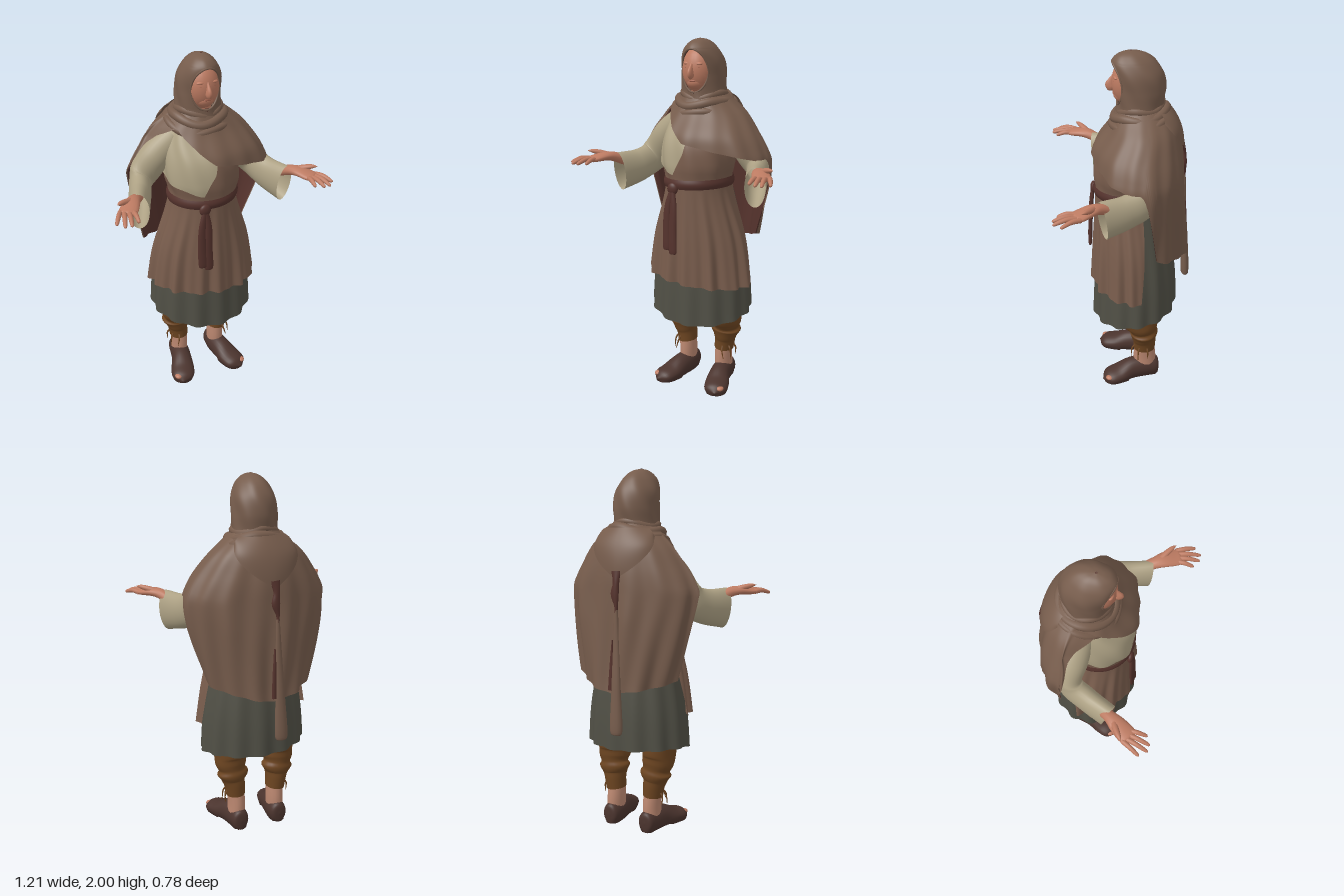
import * as THREE from 'three';
import { mergeVertices } from 'three/addons/utils/BufferGeometryUtils.js';

const V = (x, y, z) => new THREE.Vector3(x, y, z);
const rad = THREE.MathUtils.degToRad;

function paint(name, color) {
  const m = new THREE.MeshStandardMaterial({ color, side: THREE.DoubleSide });
  m.name = name;
  return m;
}

// Smooth surface from a rule f(u, v) -> Vector3, welded at seams and poles
function grid(nu, nv, f, flip = false) {
  const pos = [], idx = [];
  for (let j = 0; j <= nv; j++)
    for (let i = 0; i <= nu; i++) pos.push(...f(i / nu, j / nv).toArray());
  for (let j = 0; j < nv; j++)
    for (let i = 0; i < nu; i++) {
      const a = j * (nu + 1) + i, b = a + 1, d = a + nu + 1, c = d + 1;
      idx.push(...(flip ? [a, d, b, b, d, c] : [a, b, d, b, c, d]));
    }
  let g = new THREE.BufferGeometry();
  g.setAttribute('position', new THREE.Float32BufferAttribute(pos, 3));
  g.setIndex(idx);
  g = mergeVertices(g, 1e-5);
  g.computeVertexNormals();
  return g;
}

// Read a table of rows [key, ...values] at a key; smooth or straight between rows
function read(rows, k, smooth = true) {
  const n = rows.length - 1;
  k = THREE.MathUtils.clamp(k, rows[0][0], rows[n][0]);
  let i = 0;
  while (i < n - 1 && k > rows[i + 1][0]) i++;
  const h = rows[i + 1][0] - rows[i][0], t = (k - rows[i][0]) / h;
  return rows[i].slice(1).map((p, c) => {
    const q = rows[i + 1][c + 1];
    if (!smooth) return p + (q - p) * t;
    const slope = (j) => {
      const a = rows[Math.max(j - 1, 0)], b = rows[Math.min(j + 1, n)];
      return (b[c + 1] - a[c + 1]) / (b[0] - a[0]);
    };
    const t2 = t * t, t3 = t2 * t;
    return (2 * t3 - 3 * t2 + 1) * p + (t3 - 2 * t2 + t) * h * slope(i)
      + (3 * t2 - 2 * t3) * q + (t3 - t2) * h * slope(i + 1);
  });
}

// Point on an oval cross-section; rows are [y, halfWidth, frontZ, backZ], angle 0 faces +z
function onBody(rows, y, a, off = 0) {
  const [w, f, b] = read(rows, y);
  return V((w + off) * Math.sin(a), y, (f + b) / 2 + ((f - b) / 2 + off) * Math.cos(a));
}

// Tube with varying oval section; points are [x, y, z, halfWidth, halfHeight]
function sweep(pts, up = V(0, 1, 0), nu = 16, nv = 28) {
  const path = new THREE.CatmullRomCurve3(pts.map((p) => V(p[0], p[1], p[2])), false, 'catmullrom');
  const size = new THREE.CatmullRomCurve3(pts.map((p) => V(p[3], p[4], 0)), false, 'catmullrom');
  return grid(nu, nv, (u, v) => {
    const t = path.getTangent(v), s = size.getPoint(v), a = -u * Math.PI * 2;
    const side = t.clone().cross(up).normalize(), top = side.clone().cross(t);
    return path.getPoint(v)
      .addScaledVector(side, Math.cos(a) * Math.max(s.x, 0))
      .addScaledVector(top, Math.sin(a) * Math.max(s.y, 0));
  });
}

export function createModel() {
  const model = new THREE.Group();
  const cloth = paint('brown cloak', 0x765c4c), tunicMat = paint('brown tunic', 0x785c4c);
  const linen = paint('pale linen', 0xada184), grey = paint('grey green wool', 0x504f45);
  const skin = paint('skin', 0xbd7b62), lips = paint('dark skin', 0xa5634f);
  const dark = paint('dark red brown', 0x54322c), legging = paint('legging brown', 0x6d4521);
  const leather = paint('shoe leather', 0x4b342e), wrap = paint('ankle wrap', 0xbb8770);
  const add = (name, geo, mat, parent = model) => {
    const m = new THREE.Mesh(geo, mat);
    m.name = name;
    parent.add(m);
    return m;
  };
  const blob = (name, mat, p, s, parent) => {
    const m = add(name, new THREE.SphereGeometry(1, 24, 18), mat, parent);
    m.position.set(...p);
    m.scale.set(...s);
  };

  // Underskirt, lowest at the front
  const underRows = [[0.4, 0.3, 0.18, -0.3], [0.7, 0.28, 0.165, -0.29], [1.0, 0.225, 0.135, -0.25], [1.25, 0.17, 0.12, -0.2]];
  add('underskirt', grid(96, 20, (u, v) => {
    const a = u * Math.PI * 2, hem = 0.46 - 0.035 * Math.cos(a) + 0.025 * Math.sin(a) ** 2 - 0.012 * Math.sin(a);
    const y = hem + (1.25 - hem) * v;
    return onBody(underRows, y, a, (1 - v) * 0.009 * Math.sin(13 * a));
  }), grey);

  // Tunic: pleated skirt open behind, and closed bodice
  const tunicRows = [[0.63, 0.315, 0.183, -0.3], [0.9, 0.275, 0.172, -0.28], [1.15, 0.2, 0.16, -0.23], [1.25, 0.185, 0.158, -0.21],
    [1.33, 0.205, 0.165, -0.22], [1.46, 0.2, 0.14, -0.22], [1.58, 0.17, 0.06, -0.2], [1.68, 0.09, 0.01, -0.16]];
  add('tunicSkirt', grid(120, 24, (u, v) => {
    const a = rad((2 * u - 1) * (94 + 14 * v)), hem = 0.665 - 0.022 * Math.sin(a);
    const y = hem + (1.24 - hem) * v;
    return onBody(tunicRows, y, a, (1 - v) * (0.012 * Math.sin(14 * a) + 0.007 * Math.sin(23 * a + 1)));
  }), tunicMat);
  const bulge = (y, a) => 0.005 * Math.sin(9 * a + 14 * y);
  add('tunicBodice', grid(64, 20, (u, v) => {
    const a = u * Math.PI * 2, y = 1.2 + 0.48 * v;
    return onBody(tunicRows, y, a, bulge(y, a));
  }), tunicMat);

  // Bare linen on the right half of the chest
  const linenEdge = [[1.28, -18], [1.4, 1], [1.46, 4], [1.66, -20]];
  add('linenChest', grid(28, 20, (u, v) => {
    const end = rad(read(linenEdge, 1.28 + 0.38 * v, false)[0]);
    const a = rad(-110) + (end - rad(-110)) * u;
    const y = 1.28 + 0.08 * (1 - u) * (1 - v) ** 2 + 0.38 * v;
    return onBody(tunicRows, y, a, 0.007 + bulge(y, a));
  }), linen);

  // Belt with knot and two hanging ends
  const belt = new THREE.Group();
  belt.name = 'belt';
  model.add(belt);
  add('beltBand', grid(64, 8, (u, v) => {
    const a = u * Math.PI * 2;
    return onBody(tunicRows, 1.205 + 0.052 * v + 0.008 * Math.sin(a), a, 0.005 + 0.008 * Math.sin(Math.PI * v));
  }), dark, belt);
  blob('beltKnot', dark, [-0.06, 1.205, 0.165], [0.032, 0.034, 0.018], belt);
  for (const [x, bottom] of [[-0.083, 0.87], [-0.047, 0.85]])
    add('beltEnd', sweep([[-0.06, 1.21, 0.168, 0.014, 0.01], [x, 1.1, 0.18, 0.021, 0.011],
      [x - 0.003, 0.97, 0.187, 0.025, 0.011], [x, bottom, 0.192, 0.024, 0.01], [x, bottom - 0.003, 0.192, 0, 0]], V(0, 0, 1), 10), dark, belt);

  // Cloak: long behind, short over the left arm and chest, drawn back over the right shoulder, with a dark lining
  const cloakRows = [[0.8, 0.28, 0.16, -0.36], [0.9, 0.31, 0.16, -0.35], [1.2, 0.378, 0.17, -0.333], [1.36, 0.397, 0.178, -0.32],
    [1.43, 0.37, 0.174, -0.315], [1.5, 0.327, 0.155, -0.305], [1.6, 0.25, 0.085, -0.28], [1.66, 0.18, 0.055, -0.255], [1.72, 0.11, 0.03, -0.22]];
  const hemRows = [[-180, 0.83], [-130, 0.87], [-104, 0.9], [-95, 1.34], [-80, 1.44], [-60, 1.57], [-43, 1.63], [-20, 1.55], [0, 1.46],
    [30, 1.42], [80, 1.36], [93, 1.32], [104, 0.92], [130, 0.88], [180, 0.83]];
  const cloak = (off) => (u, v) => {
    const deg = -180 + 360 * u, a = rad(deg), hem = read(hemRows, deg, false)[0];
    const y = hem + (1.72 - hem) * v, drop = Math.min(1, (1.72 - y) * 2);
    const p = onBody(cloakRows, y, a, off + drop * (0.008 * Math.sin(8 * a + 5 * y) + 0.007 * Math.sin(15 * a - 4 * y)));
    p.z -= 0.1 * Math.exp(-(((deg + 68) / 24) ** 2)) * Math.min(1, (1.72 - y) * 6);
    return p;
  };
  add('cloak', grid(180, 36, cloak(0)), cloth);
  add('cloakLining', grid(180, 36, cloak(-0.007), true), dark);

  // Pointed fold of the hood lying on the back
  add('backFold', grid(40, 12, (u, v) => {
    const deg = 125 + 115 * u, hem = 1.44 + 0.22 * Math.abs(deg - 183) / 58;
    return onBody(cloakRows, hem + (1.7 - hem) * v, rad(deg), 0.012 + 0.011 * Math.sin(Math.PI * v));
  }), cloth);

  // Knotted cord, dark slit and long tail hanging from the hood
  add('tailCord', sweep([[-0.02, 1.48, -0.318, 0.03, 0.012], [-0.025, 1.42, -0.327, 0.018, 0.014], [-0.02, 1.36, -0.332, 0.024, 0.014],
    [-0.03, 1.3, -0.335, 0.01, 0.01], [-0.03, 1.25, -0.338, 0.008, 0.008]], V(0, 0, 1), 10), dark);
  add('tailSlit', sweep([[-0.012, 1.12, -0.343, 0.004, 0.008], [-0.008, 0.98, -0.351, 0.012, 0.008], [-0.004, 0.85, -0.359, 0.014, 0.008]], V(0, 0, 1), 8), dark);
  add('hoodTail', sweep([[-0.03, 1.28, -0.335, 0.01, 0.01], [-0.035, 1.05, -0.346, 0.02, 0.012], [-0.04, 0.85, -0.357, 0.028, 0.018],
    [-0.045, 0.63, -0.366, 0.036, 0.023], [-0.045, 0.622, -0.366, 0, 0]], V(0, 0, 1), 12), cloth);

  // Hood with an oval opening, and its lining
  const hoodRows = [[1.62, 0.15, 0.06, -0.24], [1.7, 0.125, 0.04, -0.21], [1.8, 0.12, 0.048, -0.218], [1.88, 0.114, 0.06, -0.205],
    [1.94, 0.088, 0.066, -0.17], [1.975, 0.058, 0.042, -0.13], [1.993, 0.03, 0.005, -0.085], [2.0, 0.001, -0.035, -0.037]];
  const openWidth = 0.08, openMid = 1.832, openHalf = 0.115;
  const hood = (off) => (u, v) => {
    const y = 1.62 + 0.38 * Math.sin(v * Math.PI / 2), k = 1 - ((y - openMid) / openHalf) ** 2;
    const open = k > 0 ? Math.asin(Math.min(0.95, openWidth * Math.sqrt(k) / read(hoodRows, y)[0])) : 0;
    const a = open + (2 * Math.PI - 2 * open) * u;
    return onBody(hoodRows, y, a, off + (1 - v) * 0.004 * Math.sin(7 * a + 30 * y));
  };
  add('hood', grid(64, 48, hood(0)), cloth);
  add('hoodLining', grid(64, 48, hood(-0.007), true), dark);
  const rim = [];
  for (let i = 0; i < 28; i++) {
    const t = i / 28 * Math.PI * 2, y = openMid + openHalf * Math.sin(t), w = read(hoodRows, y)[0];
    rim.push(onBody(hoodRows, y, Math.asin(openWidth * Math.cos(t) / w), -0.003));
  }
  add('hoodRim', new THREE.TubeGeometry(new THREE.CatmullRomCurve3(rim, true), 64, 0.0055, 8, true), cloth);

  // Rolled folds around the neck: halfWidth, frontZ, backZ, frontY, backY, thickness
  for (const [w, f, b, yf, yb, r] of [[0.112, 0.024, -0.195, 1.69, 1.72, 0.022], [0.138, 0.05, -0.22, 1.65, 1.69, 0.026],
    [0.168, 0.064, -0.24, 1.605, 1.66, 0.022]]) {
    const pts = [];
    for (let i = 0; i < 24; i++) {
      const a = i / 24 * Math.PI * 2;
      pts.push(V(w * Math.sin(a), (yf + yb) / 2 + (yf - yb) / 2 * Math.cos(a) + 0.01 * Math.sin(3 * a + w * 40),
        (f + b) / 2 + (f - b) / 2 * Math.cos(a)));
    }
    add('neckFold', new THREE.TubeGeometry(new THREE.CatmullRomCurve3(pts, true), 72, r, 10, true), cloth);
  }

  // Head and face, with a wedge nose
  const head = new THREE.Group();
  head.name = 'head';
  model.add(head);
  blob('face', skin, [0, 1.835, -0.025], [0.09, 0.125, 0.09], head);
  blob('jaw', skin, [0, 1.772, -0.002], [0.056, 0.045, 0.058], head);
  blob('mouth', lips, [0, 1.779, 0.053], [0.022, 0.006, 0.007], head);
  blob('neck', skin, [0, 1.69, -0.08], [0.07, 0.1, 0.07], head);
  add('nose', sweep([[0, 1.885, 0.045, 0.006, 0.006], [0, 1.855, 0.058, 0.009, 0.016], [0, 1.828, 0.066, 0.014, 0.029],
    [0, 1.812, 0.064, 0.016, 0.028], [0, 1.802, 0.056, 0.012, 0.018], [0, 1.798, 0.05, 0, 0]], V(0, 0, 1), 12), skin, head);
  for (const s of [-1, 1]) {
    blob('brow', skin, [s * 0.03, 1.87, 0.043], [0.028, 0.01, 0.014], head);
    blob('eye', lips, [s * 0.031, 1.85, 0.052], [0.013, 0.004, 0.004], head);
  }

  for (const s of [-1, 1]) {
    const flip = (pts) => pts.map(([x, ...rest]) => [x * s, ...rest]);

    // Wide sleeve
    const arm = new THREE.Group();
    arm.name = s > 0 ? 'leftArm' : 'rightArm';
    model.add(arm);
    add('sleeve', sweep(flip([[0.13, 1.55, -0.09, 0.08, 0.08], [0.24, 1.45, -0.1, 0.085, 0.088], [0.325, 1.33, -0.09, 0.063, 0.09],
      [0.37, 1.28, 0.01, 0.06, 0.095], [0.42, 1.261, 0.14, 0.056, 0.11]]), V(0, 1, 0), 28, 32), linen, arm);

    // Forearm, palm and digits, palm upward
    add('forearm', sweep(flip([[0.375, 1.29, 0.02, 0.026, 0.026], [0.41, 1.316, 0.09, 0.028, 0.028], [0.445, 1.345, 0.155, 0.033, 0.027],
      [0.474, 1.353, 0.2, 0.044, 0.024], [0.508, 1.346, 0.255, 0.05, 0.019], [0.522, 1.344, 0.28, 0.04, 0.014], [0.526, 1.344, 0.285, 0, 0]])), skin, arm);
    const tips = [[0.549, 0.25, 0.599, 0.35], [0.532, 0.264, 0.566, 0.388], [0.51, 0.274, 0.531, 0.39], [0.488, 0.274, 0.488, 0.366]];
    for (const [x0, z0, x1, z1] of tips) {
      const at = (t, y, r) => [x0 + (x1 - x0) * t, y, z0 + (z1 - z0) * t, r, r];
      add('finger', sweep(flip([at(0, 1.345, 0.0135), at(0.45, 1.349, 0.0125), at(0.9, 1.336, 0.009), at(1, 1.333, 0)]), V(0, 1, 0), 10, 12), skin, arm);
    }
    add('thumb', sweep(flip([[0.462, 1.355, 0.178, 0.018, 0.018], [0.503, 1.37, 0.202, 0.017, 0.016], [0.54, 1.381, 0.228, 0.012, 0.011],
      [0.562, 1.384, 0.247, 0, 0]]), V(0, 1, 0), 10, 12), skin, arm);

    // Leg: baggy legging, ankle wrap, ties, shoe and bare toes
    const leg = new THREE.Group();
    leg.name = s > 0 ? 'leftLeg' : 'rightLeg';
    model.add(leg);
    const front = V(0, 0, 1);
    add('legging', sweep(flip([[0.124, 0.2, -0.113, 0.055, 0.064], [0.13, 0.26, -0.113, 0.06, 0.067], [0.135, 0.295, -0.108, 0.07, 0.073],
      [0.138, 0.33, -0.107, 0.09, 0.082], [0.141, 0.355, -0.104, 0.076, 0.08], [0.145, 0.39, -0.097, 0.088, 0.093],
      [0.147, 0.45, -0.083, 0.088, 0.115], [0.147, 0.62, -0.07, 0.1, 0.12]]), front, 24, 48), legging, leg);
    add('ankle', sweep(flip([[0.122, 0.07, -0.118, 0.048, 0.066], [0.12, 0.14, -0.116, 0.048, 0.066], [0.122, 0.21, -0.113, 0.049, 0.06]]), front), wrap, leg);
    for (let i = 0; i < 3; i++) {
      const a = rad(20 + 40 * i), x = 0.124 + 0.052 * Math.sin(a), z = -0.113 + 0.062 * Math.cos(a);
      add('tie', sweep(flip([[x, 0.23, z, 0.006, 0.006], [x + 0.018 * Math.sin(a), 0.205, z + 0.02 * Math.cos(a), 0.005, 0.005],
        [x + 0.022 * Math.sin(a + 0.6), 0.16 - 0.012 * (i % 2), z + 0.025 * Math.cos(a), 0.002, 0.002]]), front, 6, 8), legging, leg);
    }
    const shoe = sweep(flip([[0.12, 0.055, -0.204, 0, 0], [0.12, 0.055, -0.192, 0.042, 0.055], [0.12, 0.055, -0.13, 0.056, 0.066],
      [0.134, 0.05, -0.04, 0.06, 0.066], [0.157, 0.034, 0.04, 0.07, 0.046], [0.18, 0.025, 0.105, 0.06, 0.034], [0.193, 0.02, 0.142, 0, 0]]), V(0, 1, 0), 24, 40);
    const p = shoe.attributes.position;
    for (let i = 0; i < p.count; i++) if (p.getY(i) < 0.014) p.setY(i, 0);
    shoe.computeVertexNormals();
    add('shoe', shoe, leather, leg);
    blob('toes', skin, [s * 0.207, 0.04, 0.1], [0.022, 0.014, 0.024], leg);
  }
  return model;
}
